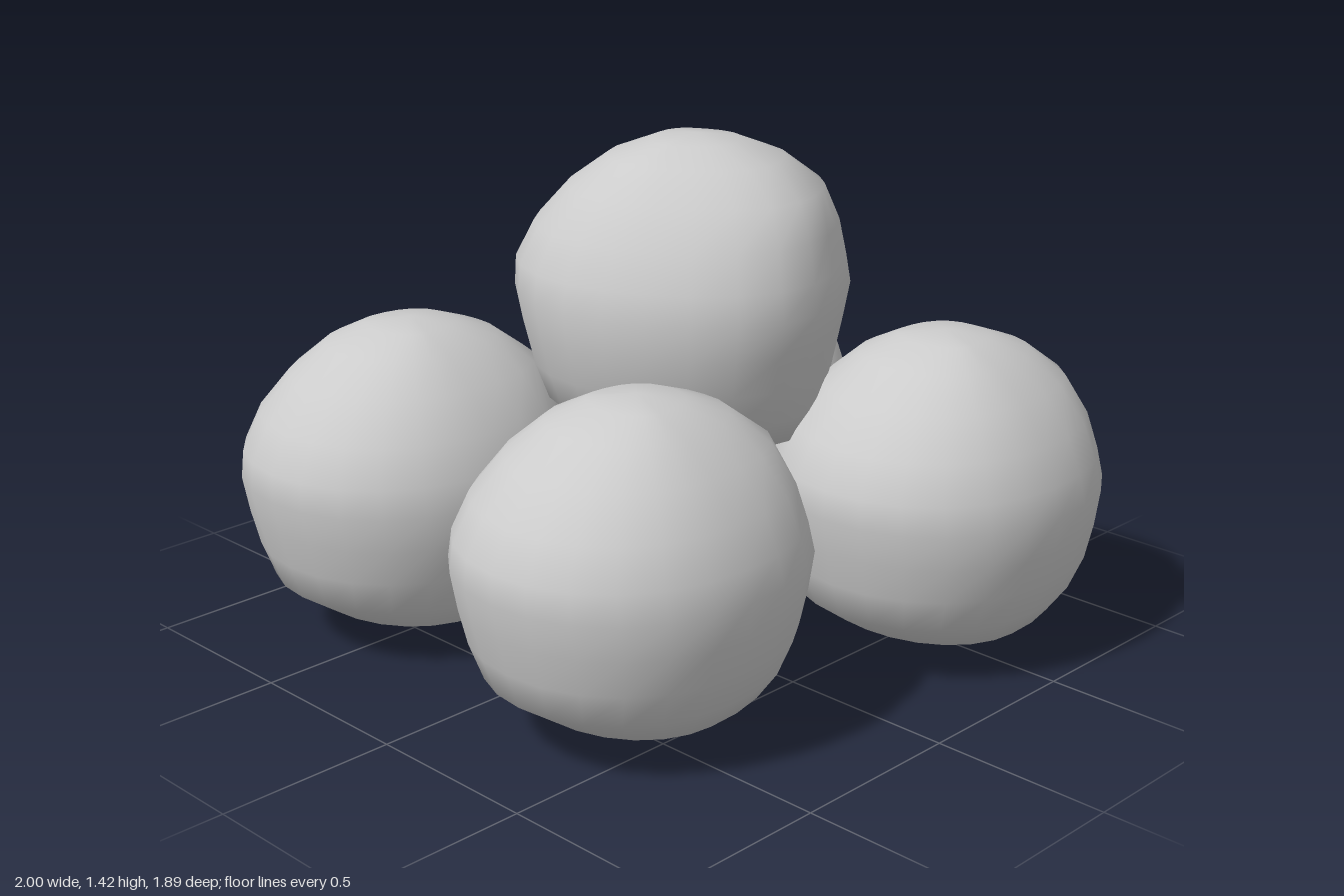
import * as THREE from 'three';

// Boulder cross-sections from bottom to top: [height, half width, front z, back z]
const SECTIONS = [
  [0.02, 0.07, 0.08, -0.12],
  [0.05, 0.17, 0.15, -0.28],
  [0.10, 0.30, 0.26, -0.37],
  [0.18, 0.36, 0.375, -0.40],
  [0.28, 0.405, 0.41, -0.42],
  [0.38, 0.425, 0.435, -0.44],
  [0.48, 0.435, 0.455, -0.458],
  [0.56, 0.415, 0.452, -0.445],
  [0.66, 0.375, 0.40, -0.425],
  [0.76, 0.30, 0.31, -0.385],
  [0.84, 0.21, 0.20, -0.28],
  [0.885, 0.12, 0.08, -0.16],
];
const SIDES = 24;

// Rounded loop, squarer at the back than at the front
function loopPoint(angle, [y, width, front, back]) {
  const c = Math.cos(angle), s = Math.sin(angle);
  const n = s < 0 ? 2.5 : 2.1;
  const r = Math.pow(Math.pow(Math.abs(c), n) + Math.pow(Math.abs(s), n), -1 / n);
  return [c * r * width, y, s * r * (s < 0 ? -back : front)];
}

function boulderGeometry() {
  const points = [];
  const index = [];
  for (const section of SECTIONS) {
    for (let i = 0; i < SIDES; i++) points.push(...loopPoint((i / SIDES) * Math.PI * 2, section));
  }
  const rings = SECTIONS.length;
  const bottom = rings * SIDES, top = bottom + 1;
  points.push(0, 0, -0.01, 0, 0.9, -0.04);

  for (let i = 0; i < SIDES; i++) {
    const next = (i + 1) % SIDES;
    index.push(bottom, i, next);
    for (let j = 0; j < rings - 1; j++) {
      const a = j * SIDES + i, b = j * SIDES + next;
      index.push(a, a + SIDES, b, b, a + SIDES, b + SIDES);
    }
    const last = (rings - 1) * SIDES;
    index.push(last + i, top, last + next);
  }

  const geometry = new THREE.BufferGeometry();
  geometry.setAttribute('position', new THREE.Float32BufferAttribute(points, 3));
  geometry.setIndex(index);
  geometry.computeVertexNormals();
  return geometry;
}

export function createModel() {
  const group = new THREE.Group();
  group.name = 'boulderPile';
  const material = new THREE.MeshStandardMaterial({ color: 0xcccccc });
  const geometry = boulderGeometry();

  // Four boulders on the ground and a turned one resting on top
  const boulders = [
    ['frontRightBoulder', -0.565, 0, 0.46, 0],
    ['frontLeftBoulder', 0.355, 0, 0.485, 0],
    ['backRightBoulder', -0.34, 0, -0.49, 0],
    ['backLeftBoulder', 0.562, 0, -0.49, 0],
    ['topBoulder', -0.015, 0.525, -0.09, -1.02],
  ];
  for (const [name, x, y, z, turn] of boulders) {
    const boulder = new THREE.Mesh(geometry, material);
    boulder.name = name;
    boulder.position.set(x, y, z);
    boulder.rotation.y = turn;
    group.add(boulder);
  }
  return group;
}
